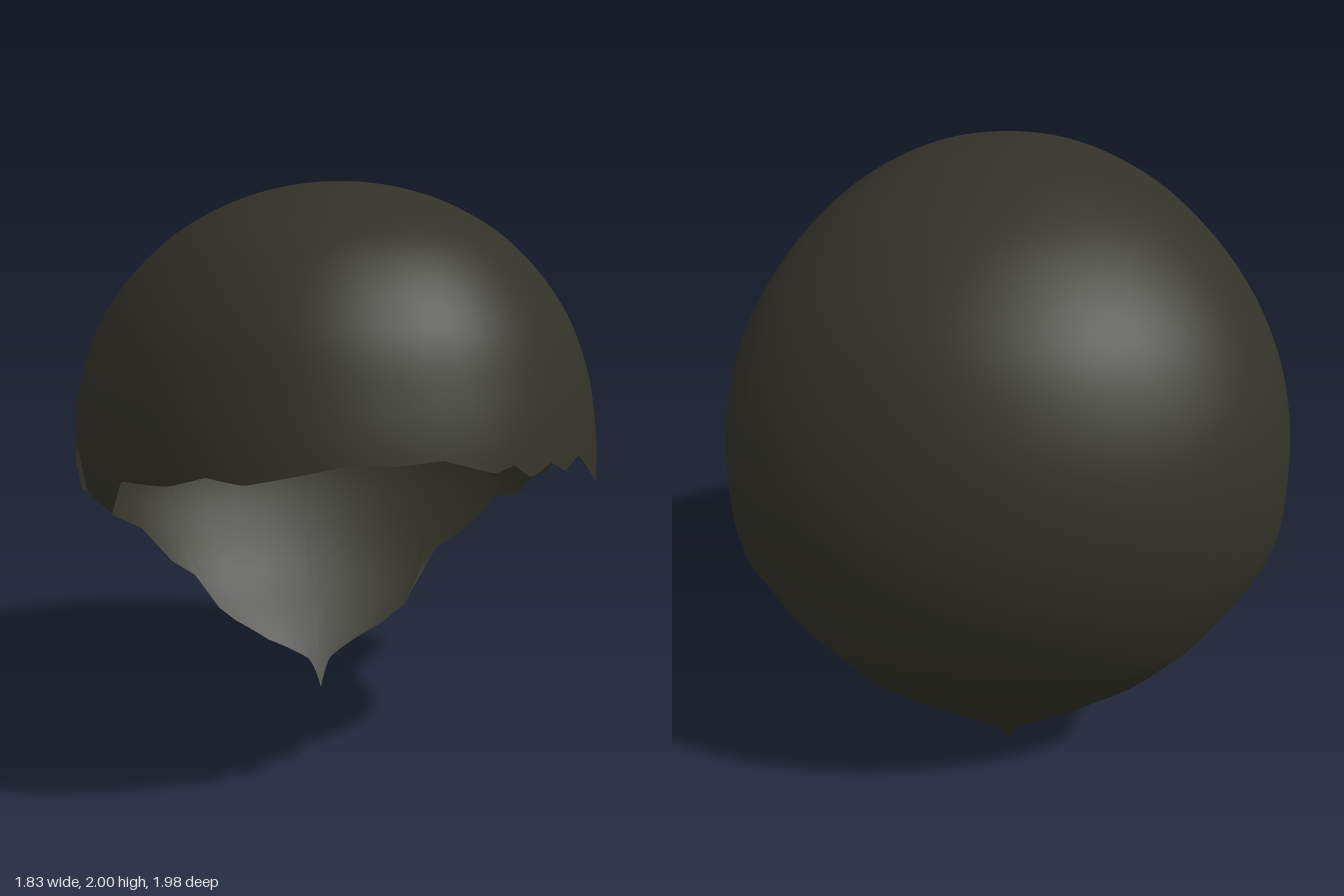
import * as THREE from 'three';

// Cap profile by height: [y, half width, front z, back z, z of widest point]
const PROFILE = [
  [2.0, 0, 0.03, 0.03, 0.03],
  [1.96, 0.27, 0.40, -0.27, 0.0],
  [1.9, 0.42, 0.55, -0.42, -0.03],
  [1.8, 0.575, 0.71, -0.60, -0.08],
  [1.6, 0.76, 0.87, -0.81, -0.17],
  [1.4, 0.86, 0.945, -0.92, -0.24],
  [1.2, 0.905, 0.99, -0.98, -0.29],
  [1.0, 0.915, 1.0, -1.0, -0.3],
  [0.8, 0.90, 1.0, -0.97, -0.3],
  [0.6, 0.82, 1.0, -0.89, -0.3],
  [0.4, 0.70, 1.0, -0.77, -0.3],
  [0.2, 0.50, 1.0, -0.59, -0.3],
  [0.0, 0.25, 1.0, -0.45, -0.3],
].map(([y, ...v]) => [Math.sqrt(2 - y), ...v]);

// Ragged hem, [degrees from the nape, height], for each side
const HEM_LEFT = [
  [0, 0], [3, 0.04], [7, 0.1], [20, 0.165], [31, 0.22], [39, 0.29], [40, 0.36], [41.5, 0.42],
  [43.5, 0.5], [51, 0.57], [56.5, 0.65], [60, 0.74], [68, 0.75], [75, 0.85], [81, 0.87],
  [94, 1.02], [101, 1.13], [107, 1.1], [111, 1.03], [120, 1.02], [130, 1.1], [138, 1.19],
  [144, 1.16], [148.6, 1.2], [154.5, 1.17], [158.7, 1.215], [162.8, 1.2], [172.6, 1.25], [180, 1.24],
];
const HEM_RIGHT = [
  [0, 0], [3, 0.06], [6, 0.1], [25, 0.18], [36, 0.26], [40, 0.31], [42, 0.43], [49, 0.5], [56, 0.65],
  [68, 0.74], [76, 0.85], [84, 0.88], [89, 0.97], [94, 1.02], [100, 1.12], [104, 1.12],
  [108, 1.08], [112, 1.02], [121, 1.01], [124, 1.0], [127.6, 1.12], [140.5, 1.145],
  [148.6, 1.19], [156, 1.18], [164, 1.21], [175, 1.25], [180, 1.24],
];

// Smooth cubic interpolation of column k in a table sorted by column 0
function sample(table, t, k) {
  const n = table.length;
  let i = 0;
  while (i < n - 2 && t > table[i + 1][0]) i++;
  const slope = (j) => {
    const a = table[Math.max(j - 1, 0)], b = table[Math.min(j + 1, n - 1)];
    return (b[k] - a[k]) / (b[0] - a[0]);
  };
  const [p, q] = [table[i], table[i + 1]];
  const h = q[0] - p[0], u = (t - p[0]) / h, u2 = u * u, u3 = u2 * u;
  return (2 * u3 - 3 * u2 + 1) * p[k] + (u3 - 2 * u2 + u) * h * slope(i)
    + (3 * u2 - 2 * u3) * q[k] + (u3 - u2) * h * slope(i + 1);
}

// Straight interpolation keeps the hem ragged without overshooting
function hemHeight(table, deg) {
  let i = 0;
  while (i < table.length - 2 && deg > table[i + 1][0]) i++;
  const [a, b] = [table[i], table[i + 1]];
  return a[1] + (b[1] - a[1]) * (deg - a[0]) / (b[0] - a[0]);
}

// Point on the cap at an angle from the nape and s = sqrt(2 - y)
function capPoint(angle, s) {
  const [w, front, back, mid] = [1, 2, 3, 4].map((k) => sample(PROFILE, s, k));
  const c = Math.cos(angle), sn = Math.sin(angle);
  const e = c < 0 ? 2 / 2.2 : 1; // the brow is a little squarer than the back
  const x = w * Math.sign(sn) * Math.abs(sn) ** e;
  const z = c < 0 ? mid + (front - mid) * (-c) ** e : mid + (back - mid) * c;
  return [x, 2 - s * s, z];
}

function capGeometry(columns = 288, rows = 56) {
  const position = [0, 2, 0.03], index = [];
  for (let r = 1; r <= rows; r++) {
    for (let c = 0; c < columns; c++) {
      const deg = (c / columns) * 360;
      const hem = deg <= 180 ? hemHeight(HEM_LEFT, deg) : hemHeight(HEM_RIGHT, 360 - deg);
      position.push(...capPoint(THREE.MathUtils.degToRad(deg), (r / rows) * Math.sqrt(2 - hem)));
    }
  }
  const at = (r, c) => 1 + (r - 1) * columns + (c % columns);
  for (let c = 0; c < columns; c++) {
    index.push(0, at(1, c + 1), at(1, c));
    for (let r = 1; r < rows; r++) {
      index.push(at(r, c), at(r, c + 1), at(r + 1, c));
      index.push(at(r, c + 1), at(r + 1, c + 1), at(r + 1, c));
    }
  }
  const geometry = new THREE.BufferGeometry();
  geometry.setAttribute('position', new THREE.Float32BufferAttribute(position, 3));
  geometry.setIndex(index);
  geometry.computeVertexNormals();
  return geometry;
}

export function createModel() {
  const group = new THREE.Group();
  group.name = 'hairCap';
  const hair = new THREE.MeshStandardMaterial({ color: 0x333228, side: THREE.DoubleSide });
  hair.name = 'dark olive hair';
  const shell = new THREE.Mesh(capGeometry(), hair);
  shell.name = 'hairShell';
  group.add(shell);
  return group;
}
